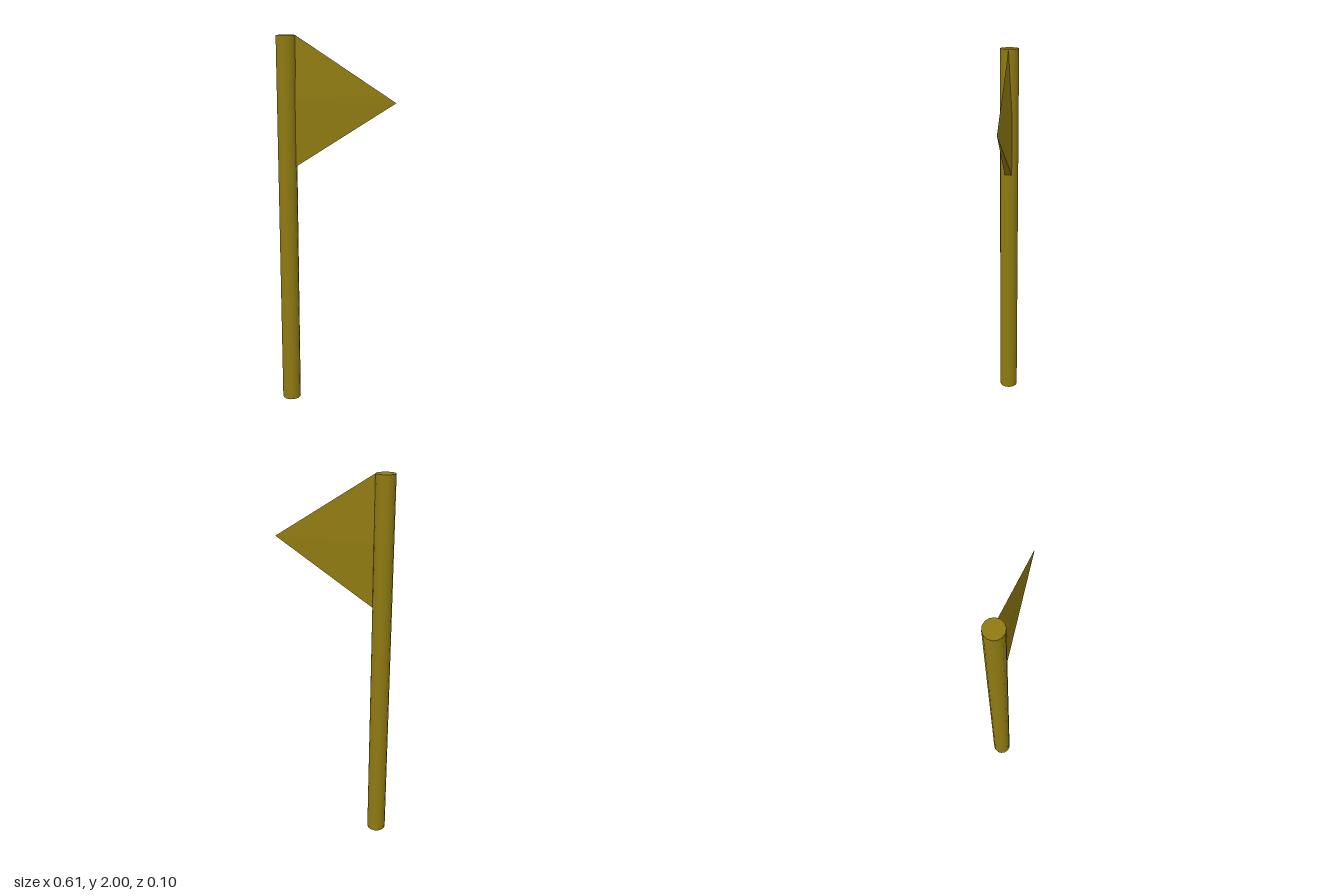
import * as THREE from 'three';

const material = new THREE.MeshStandardMaterial({ color: 0x8f7a12, flatShading: true });
const poleMaterial = new THREE.MeshStandardMaterial({ color: 0x8f7a12 });

// Pennant: a thin cross-section at the pole, drawn to a point at the tip
function pennantGeometry() {
  const x = -0.21, t = 0.019;
  const base = [[2, 0], [1.667, t], [1.335, t], [1.335, -t], [1.667, -t]]
    .map(([y, z]) => [x, y, z]);
  const tip = [0.305, 1.667, 0], hub = [x, 1.667, 0];
  const positions = [];
  base.forEach((a, i) => {
    const b = base[(i + 1) % base.length];
    positions.push(...a, ...b, ...tip, ...b, ...a, ...hub);
  });
  const geometry = new THREE.BufferGeometry();
  geometry.setAttribute('position', new THREE.Float32BufferAttribute(positions, 3));
  geometry.computeVertexNormals();
  return geometry;
}

export function createModel() {
  const model = new THREE.Group();
  model.name = 'pennantOnPole';

  // Upright round pole
  const pole = new THREE.Mesh(new THREE.CylinderGeometry(0.05, 0.05, 2, 14), poleMaterial);
  pole.name = 'pole';
  pole.position.set(-0.257, 1, 0);
  model.add(pole);

  // Triangular flag
  const flag = new THREE.Mesh(pennantGeometry(), material);
  flag.name = 'flag';
  model.add(flag);

  return model;
}
